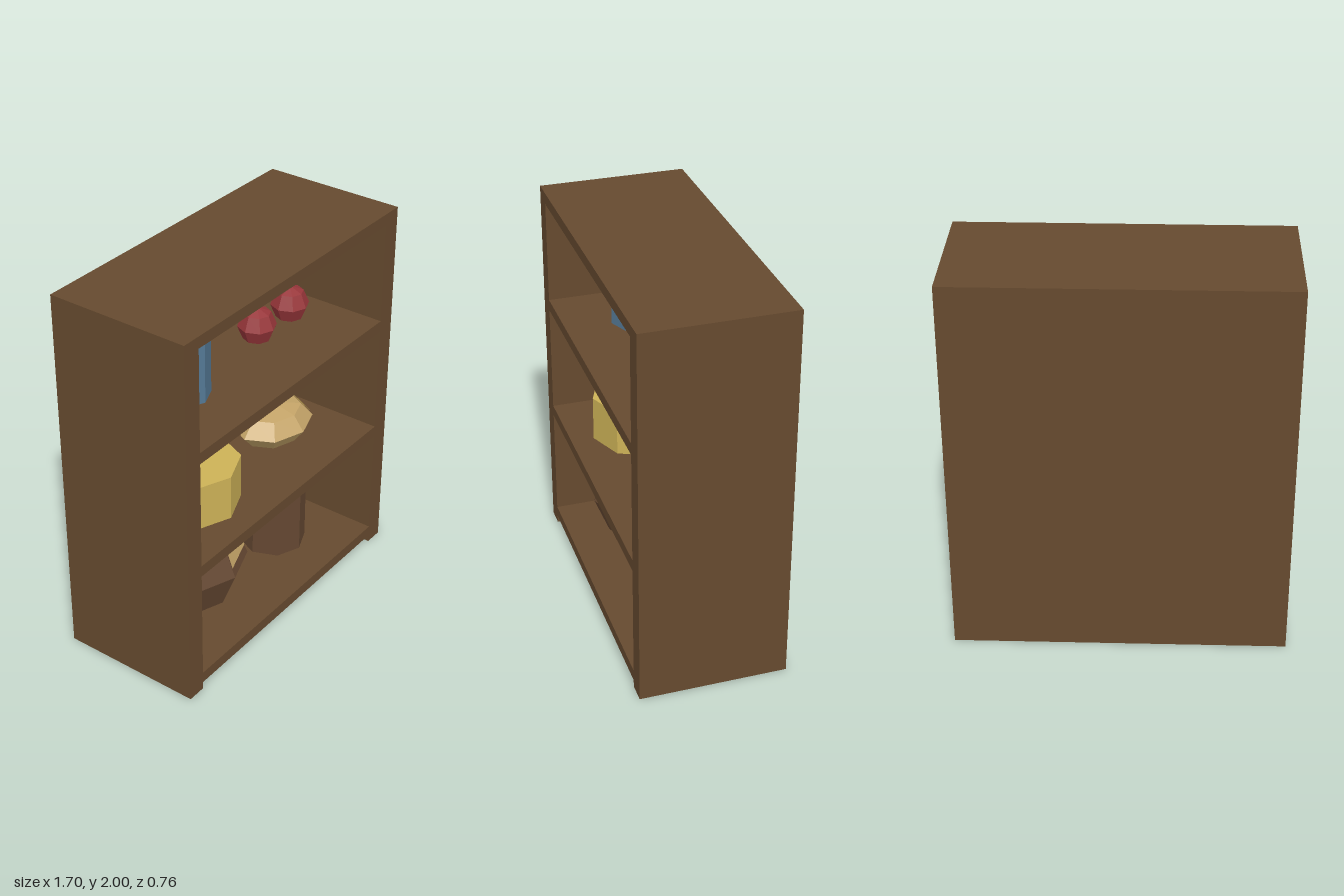
import * as THREE from 'three';

const flat = (name, color) => {
  const m = new THREE.MeshStandardMaterial({ color, flatShading: true });
  m.name = name;
  return m;
};

export function createModel() {
  const wood = flat('wood', 0x664a2f);
  const darkWood = flat('brownCrust', 0x654832);
  const blue = flat('blueGlaze', 0x547996);
  const red = flat('red', 0x98363a);
  const yellow = flat('yellow', 0xcdb257);
  const tan = flat('tan', 0xc4a468);

  const group = new THREE.Group();
  group.name = 'stockedShelf';

  const add = (name, geometry, material, x, y, z = 0) => {
    const mesh = new THREE.Mesh(geometry, material);
    mesh.name = name;
    mesh.position.set(x, y, z);
    group.add(mesh);
    return mesh;
  };
  // eight-sided drum standing on a shelf
  const drum = (name, r, h, material, x, base) =>
    add(name, new THREE.CylinderGeometry(r, r, h, 8), material, x, base + h / 2);
  // faceted ball, stretched per axis
  const ball = (name, rx, ry, rz, material, x, y) =>
    add(name, new THREE.SphereGeometry(1, 8, 4), material, x, y).scale.set(rx, ry, rz);
  // thin facets over part of a ball; profile in unit-ball terms, angle 0 faces front
  const facets = (name, profile, start, length, segments, rx, ry, rz, material, x, y) => {
    const points = profile.map(([r, h]) => new THREE.Vector2(r, h));
    const geometry = new THREE.LatheGeometry(points, segments, start, length);
    add(name, geometry, material, x, y).scale.set(rx, ry, rz);
  };

  // cabinet
  for (const [name, s] of [['leftSide', 1], ['rightSide', -1]]) {
    add(name, new THREE.BoxGeometry(0.1, 2, 0.76), wood, s * 0.8, 1);
  }
  add('backPanel', new THREE.BoxGeometry(1.5, 2, 0.04), wood, 0, 1, -0.36);
  [['bottomShelf', 0.07], ['lowerShelf', 0.73], ['upperShelf', 1.37], ['topBoard', 1.97]].forEach(([name, y]) =>
    add(name, new THREE.BoxGeometry(1.5, 0.06, 0.72), wood, 0, y, 0.02));

  // upper shelf: jar and two fruits
  drum('blueJar', 0.14, 0.4, blue, -0.4, 1.4);
  for (const x of [0.2, 0.48]) ball('redFruit', 0.1, 0.1, 0.1, red, x, 1.5);

  // middle shelf: round cheese and flat loaf with a yellow facet
  drum('cheeseWheel', 0.26, 0.24, yellow, -0.36, 0.76);
  ball('flatLoaf', 0.24, 0.11, 0.2, tan, 0.34, 0.87);
  facets('loafFacet', [[1, 0.03], [0.707, 0.707]], Math.PI / 4, Math.PI / 4, 1,
    0.244, 0.112, 0.204, yellow, 0.34, 0.87);

  // bottom shelf: large round with a pale patch, and a barrel
  ball('largeRound', 0.3, 0.28, 0.27, darkWood, -0.34, 0.38);
  facets('palePatch', [[0.926, 0.179], [0.707, 0.707], [0, 1]], 0, Math.PI / 2, 2,
    0.305, 0.284, 0.275, tan, -0.34, 0.38);
  facets('palePatchTop', [[0.68, 0.72], [0, 1]], -Math.PI / 8, Math.PI / 8, 1,
    0.305, 0.284, 0.275, tan, -0.34, 0.38);
  drum('barrel', 0.18, 0.5, darkWood, 0.36, 0.1);

  return group;
}
